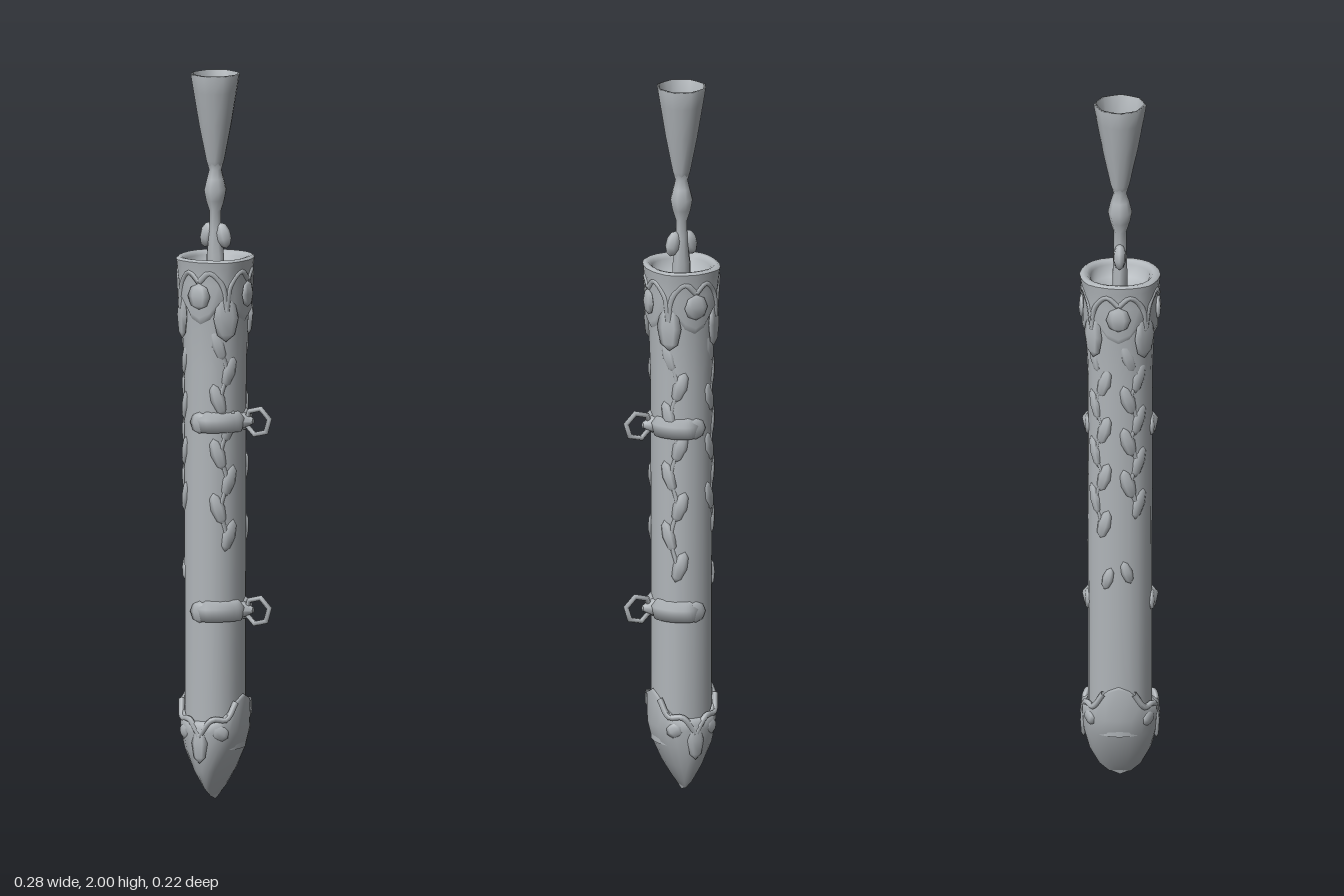
import * as THREE from 'three';

const CX = -0.035; // axis of the sheath
const steel = new THREE.MeshStandardMaterial({ color: 0xb1b6ba, side: THREE.DoubleSide });
steel.name = 'steel grey';

// Skin over sections [y, rx, rz]; warp(angle, row) may return [radius factor, y offset].
function loft(rows, sides, warp = () => [1, 0], square = 1) {
  const pos = [], idx = [];
  rows.forEach(([y, rx, rz], i) => {
    for (let j = 0; j < sides; j++) {
      const a = (j / sides) * Math.PI * 2, [f, dy] = warp(a, i);
      const c = Math.cos(a), s = Math.sin(a);
      pos.push(CX + Math.sign(c) * Math.abs(c) ** square * rx * f, y + dy,
        Math.sign(s) * Math.abs(s) ** square * rz * f);
      if (i < rows.length - 1) {
        const k = i * sides + j, n = i * sides + (j + 1) % sides;
        idx.push(k, k + sides, n, n, k + sides, n + sides);
      }
    }
  });
  const g = new THREE.BufferGeometry();
  g.setAttribute('position', new THREE.Float32BufferAttribute(pos, 3));
  g.setIndex(idx);
  g.computeVertexNormals();
  return g;
}

// Point on the sheath surface at an angle in degrees
function onSheath(deg, y, out = 0) {
  const a = deg * Math.PI / 180;
  return new THREE.Vector3(CX + Math.cos(a) * (0.083 + out), y, Math.sin(a) * (0.089 + out));
}

export function createModel() {
  const model = new THREE.Group();
  const add = (name, geo, parent = model) => {
    const m = new THREE.Mesh(geo, steel);
    m.name = name;
    parent.add(m);
    return m;
  };
  // Raised strand through [degrees, y, out] points
  const strand = (name, pts, r, parent) => add(name, new THREE.TubeGeometry(
    new THREE.CatmullRomCurve3(pts.map(p => onSheath(...p))), pts.length * 4, r, 5), parent);
  // Flat pointed leaf lying on the sheath
  const leaf = (name, deg, y, out, w, h, tilt, parent) => {
    const m = add(name, new THREE.SphereGeometry(1, 6, 4), parent);
    m.position.copy(onSheath(deg, y, out));
    m.rotation.set(0, Math.PI / 2 - deg * Math.PI / 180, tilt, 'YXZ');
    m.scale.set(w, h, 0.01);
    return m;
  };

  // Sheath tube
  add('sheathTube', loft([[0.15, 0.081, 0.087], [0.5, 0.081, 0.087], [0.9, 0.082, 0.088],
    [1.2, 0.083, 0.088], [1.32, 0.088, 0.093], [1.42, 0.094, 0.1]], 20, undefined, 0.94));

  // Collar with a scalloped lower edge
  add('collar', loft([[1.35, 0.086, 0.092], [1.37, 0.096, 0.103], [1.43, 0.095, 0.101],
    [1.475, 0.1, 0.106], [1.494, 0.102, 0.109]], 24,
  (a, i) => i < 2 ? [1, 0.03 * Math.cos(4 * a + Math.PI)] : [1 + 0.015 * Math.cos(8 * a), 0], 0.85));

  // Rounded lip and shallow mouth
  add('collarLip', loft([[1.494, 0.102, 0.109], [1.5, 0.095, 0.101], [1.498, 0.086, 0.09],
    [1.488, 0.077, 0.08], [1.455, 0.07, 0.072], [1.44, 0.0005, 0.0005]], 24,
  (a, i) => [i < 1 ? 1 + 0.015 * Math.cos(8 * a) : 1, 0], 0.85));

  // Scrolls and leaves on the collar, mirrored front to back
  const scrolls = new THREE.Group();
  scrolls.name = 'collarScrolls';
  model.add(scrolls);
  for (const base of [0, 90, 180, 270]) {
    for (const s of [-1, 1]) {
      strand('collarScroll', [[base + s * 45, 1.36, 0.012], [base + s * 38, 1.43, 0.013],
        [base + s * 18, 1.465, 0.013], [base, 1.44, 0.012]], 0.009, scrolls);
    }
    leaf('collarBoss', base, 1.4, 0.014, 0.034, 0.036, 0, scrolls);
    leaf('collarDrop', base + 45, 1.34, 0.01, 0.036, 0.065, 0, scrolls);
  }

  // Low-relief vines running down the four corners of the sheath
  for (const [deg, bottom] of [[47, 0.74], [-52, 0.66], [152, 0.84], [-142, 0.78]]) {
    const vine = new THREE.Group();
    vine.name = 'vine';
    model.add(vine);
    const pts = [];
    for (let i = 0; i <= 8; i++) {
      const y = 1.34 + (bottom - 1.34) * i / 8, side = i % 2 ? 1 : -1;
      pts.push([deg + side * 6, y, -0.004]);
      if (i > 0) leaf('vineLeaf', deg + side * 11, y, -0.002, 0.02, 0.046, side * 0.3, vine);
    }
    strand('vineStem', pts, 0.008, vine);
  }
  leaf('lowerLeaf', 165, 0.64, -0.002, 0.016, 0.035, 0.3);
  leaf('lowerLeaf', 200, 0.62, -0.002, 0.016, 0.035, -0.3);

  // Tip cap: a keel across x that stays wide across z
  add('tipCap', loft([[0.015, 0.002, 0.03], [0.04, 0.02, 0.058], [0.09, 0.05, 0.085],
    [0.15, 0.077, 0.101], [0.2, 0.09, 0.105], [0.25, 0.092, 0.105], [0.255, 0.083, 0.09]], 20,
  (a, i) => [1, i > 4 ? 0.035 * Math.cos(2 * a) + 0.01 * Math.cos(4 * a) : 0], 0.94));
  add('tipPoint', loft([[0.005, 0.0005, 0.0005], [0.018, 0.004, 0.034]], 12));
  for (const base of [90, -90]) {
    leaf('tipKeel', base, 0.17, 0.01, 0.024, 0.055, 0);
    for (const s of [-1, 1]) {
      strand('tipScroll', [[base + s * 65, 0.28, 0.007], [base + s * 45, 0.235, 0.01],
        [base + s * 22, 0.235, 0.01], [base, 0.19, 0.012]], 0.009);
      leaf('tipLeaf', base + s * 35, 0.2, 0.009, 0.026, 0.022, s * 0.6);
    }
  }

  // Two hangers: half band, tapered lug and six-sided ring on the left side
  for (const y of [1.05, 0.53]) {
    const hanger = new THREE.Group();
    hanger.name = 'hanger';
    hanger.position.y = y;
    model.add(hanger);
    const arc = [];
    for (let d = -96; d <= 96; d += 16) arc.push([d, 0, d % 96 ? -0.002 : -0.014]);
    const band = strand('band', arc, 0.019, hanger);
    band.scale.y = 1.65;
    for (const d of [-94, 94]) leaf('bandEnd', d, 0, -0.002, 0.03, 0.03, 0, hanger);
    const lug = add('lug', new THREE.CylinderGeometry(0.008, 0.026, 0.035, 6), hanger);
    lug.rotation.z = -Math.PI / 2;
    lug.position.x = 0.062;
    const ring = add('ring', new THREE.TorusGeometry(0.037, 0.008, 5, 6), hanger);
    ring.position.x = 0.092;
    ring.rotation.z = 0.25;
  }

  // Grip stem with a knot and bead
  add('gripStem', loft([[1.43, 0.028, 0.02], [1.5, 0.026, 0.02], [1.57, 0.017, 0.018],
    [1.62, 0.016, 0.017], [1.65, 0.026, 0.027], [1.68, 0.032, 0.033], [1.71, 0.024, 0.026],
    [1.735, 0.018, 0.018], [1.755, 0.024, 0.024]], 8));

  // Small guard with curled ends
  for (const s of [-1, 1]) {
    const curl = add('guardCurl', new THREE.SphereGeometry(1, 7, 5));
    curl.position.set(CX + s * 0.024, 1.555, 0);
    curl.scale.set(0.022, 0.036, 0.018);
    curl.rotation.z = s * 0.25;
  }

  // Hollow flared pommel
  add('pommelCup', loft([[1.745, 0.02, 0.02], [1.76, 0.025, 0.025], [1.86, 0.045, 0.046],
    [1.95, 0.06, 0.062], [1.998, 0.068, 0.07], [2, 0.061, 0.063], [1.95, 0.052, 0.054],
    [1.89, 0.038, 0.039], [1.87, 0.0005, 0.0005]], 16, a => [1 + 0.03 * Math.cos(8 * a), 0]));

  return model;
}
